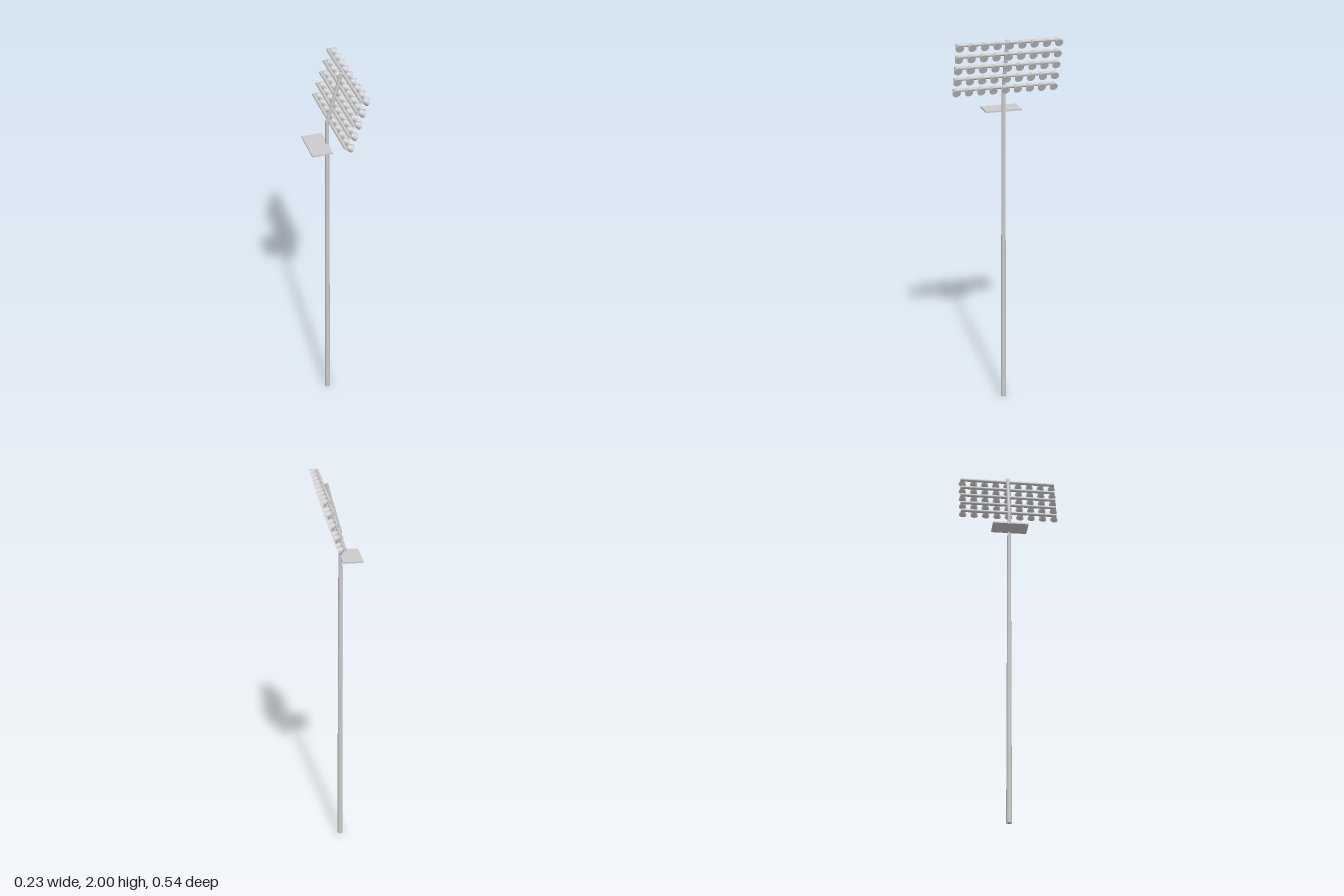
import * as THREE from 'three';

const material = new THREE.MeshStandardMaterial({ color: 0xcccccc });
const Z = -0.003; // mast line in z

function add(parent, name, geometry, x, y, z) {
  const mesh = new THREE.Mesh(geometry, material);
  mesh.name = name;
  mesh.position.set(x, y, z);
  parent.add(mesh);
  return mesh;
}

export function createModel() {
  const model = new THREE.Group();
  model.name = 'floodlightMast';

  // Tapered pole with a rounded bend at its top
  const bend = new THREE.Vector3(-0.015, 1.743, Z);
  add(model, 'pole', new THREE.CylinderGeometry(0.0095, 0.0145, bend.y, 16), bend.x, bend.y / 2, Z);
  add(model, 'poleBend', new THREE.SphereGeometry(0.0095, 16, 10), bend.x, bend.y, Z);

  // Leaning arm that carries the crossbars
  const tip = new THREE.Vector3(0.055, 1.9975, Z);
  const lean = tip.clone().sub(bend);
  const mid = bend.clone().add(tip).multiplyScalar(0.5);
  const arm = add(model, 'arm', new THREE.CylinderGeometry(0.0093, 0.0093, lean.length(), 16), mid.x, mid.y, Z);
  arm.quaternion.setFromUnitVectors(new THREE.Vector3(0, 1, 0), lean.normalize());

  // Service platform behind the pole
  add(model, 'platform', new THREE.BoxGeometry(0.104, 0.008, 0.19), -0.066, 1.619, -0.005);

  // Lamp housing: closed bell along +y, opening at the top end
  const lampGeometry = new THREE.LatheGeometry([
    [0, -0.03], [0.0085, -0.03], [0.0115, -0.027], [0.017, -0.014], [0.021, 0],
  ].map(([r, y]) => new THREE.Vector2(r, y)), 14);
  const lensGeometry = new THREE.CircleGeometry(0.021, 14).rotateX(-Math.PI / 2);
  const barGeometry = new THREE.CylinderGeometry(0.009, 0.009, 0.524, 14).rotateX(Math.PI / 2);

  // Five rows of nine lamps, stepping out along the arm
  for (let row = 0; row < 5; row++) {
    const x = -0.004 + row * 0.0185;
    const y = 1.747 + row * 0.06;
    const group = new THREE.Group();
    group.name = 'lampRow';
    model.add(group);
    add(group, 'crossbar', barGeometry, x, y, Z);
    for (let i = -4; i <= 4; i++) {
      const lamp = new THREE.Group();
      lamp.name = 'lamp';
      lamp.position.set(x + 0.034, y - 0.01, Z + 0.001 + i * 0.0627);
      lamp.rotation.z = -Math.PI / 2 - 0.45; // faces outward and down
      add(lamp, 'housing', lampGeometry, 0, 0, 0);
      add(lamp, 'lens', lensGeometry, 0, 0, 0);
      group.add(lamp);
    }
  }
  return model;
}
